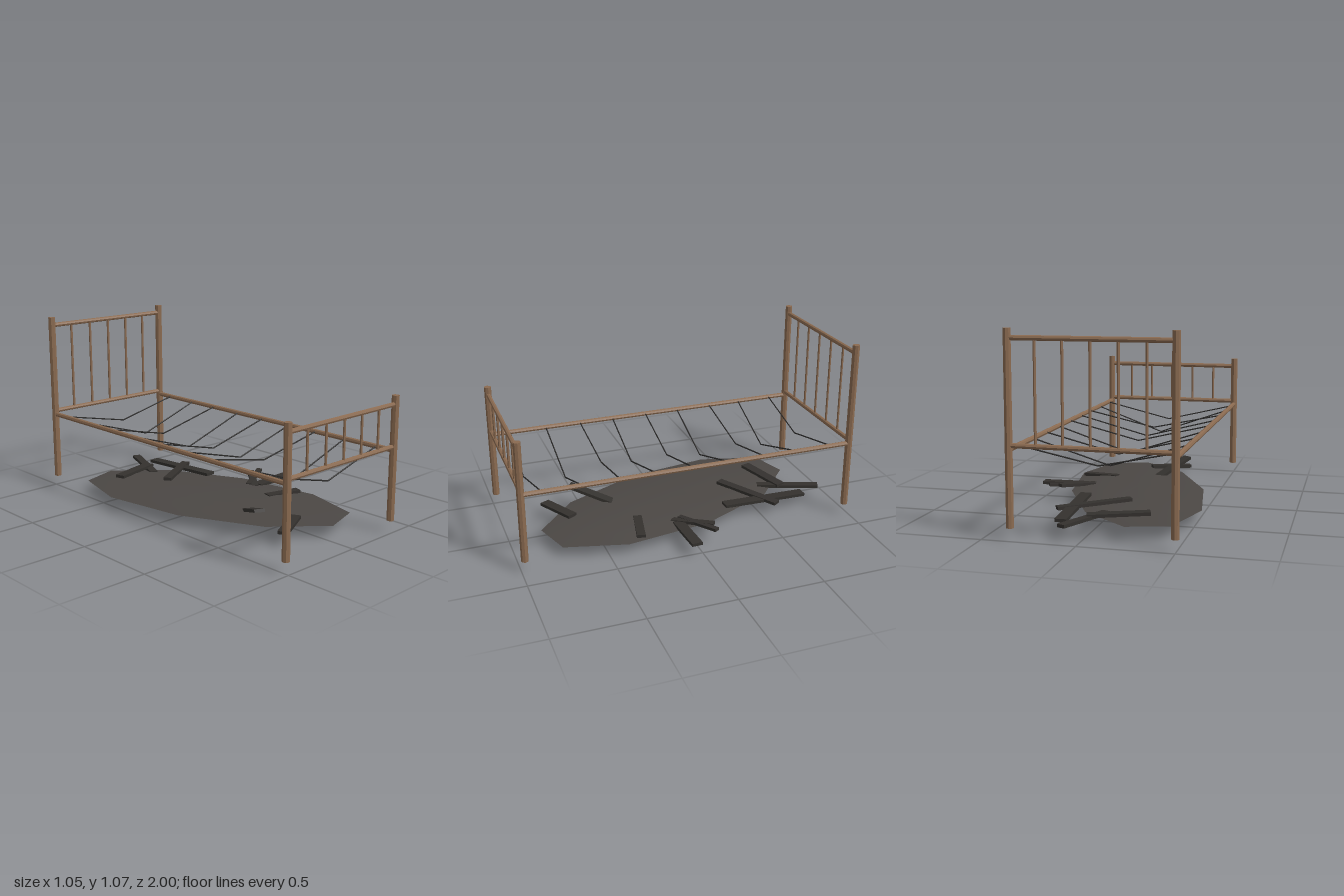
import * as THREE from 'three';

const V = (x, y, z) => new THREE.Vector3(x, y, z);
const rust = new THREE.MeshStandardMaterial({ color: 0x8a6a50, flatShading: true });
const wireMat = new THREE.MeshStandardMaterial({ color: 0x2b2a29 });
const ashMat = new THREE.MeshStandardMaterial({ color: 0x4b4744 });
const charMat = new THREE.MeshStandardMaterial({ color: 0x34312e, flatShading: true });

const CX = -0.0725; // middle of the bed
const HALF_W = 0.4235;
const END_Z = 0.978;

// Round bar between two points
function bar(name, a, b, r, mat = rust, sides = 8) {
  const mesh = new THREE.Mesh(new THREE.CylinderGeometry(r, r, a.distanceTo(b), sides), mat);
  mesh.name = name;
  mesh.position.copy(a).lerp(b, 0.5);
  mesh.quaternion.setFromUnitVectors(V(0, 1, 0), b.clone().sub(a).normalize());
  return mesh;
}

// Flat board between two points
function plank(a, b, width, thick) {
  const mesh = new THREE.Mesh(new THREE.BoxGeometry(width, thick, a.distanceTo(b)), charMat);
  mesh.name = 'charredPlank';
  mesh.position.copy(a).lerp(b, 0.5);
  mesh.lookAt(b);
  return mesh;
}

// Headboard or footboard: two posts, two rails, five spindles
function endFrame(name, z, postTop, railTop) {
  const g = new THREE.Group();
  g.name = name;
  for (const s of [-1, 1]) {
    const x = CX + s * HALF_W;
    g.add(bar('post', V(x, 0.07, z), V(x, postTop, z), 0.021));
  }
  for (const y of [0.491, railTop]) {
    g.add(bar('crossRail', V(CX - HALF_W, y, z), V(CX + HALF_W, y, z), 0.0135));
  }
  for (let i = -2; i <= 2; i++) {
    const x = CX + i * 0.141;
    g.add(bar('spindle', V(x, 0.491, z), V(x, railTop, z), 0.0075, rust, 6));
  }
  return g;
}

// Low ten-sided mound, skewed by two axis vectors, with a flat underside
function ashMound() {
  const rings = [[0.3, 0.096], [0.55, 0.091], [0.8, 0.083], [1, 0.071]];
  const N = 10;
  const pos = [CX, 0.098, 0];
  const idx = [];
  for (const [k, y] of rings) {
    for (let i = 0; i < N; i++) {
      const t = (i / N) * Math.PI * 2;
      const c = Math.cos(t), s = Math.sin(t);
      const bump = k < 1 ? 0.004 * Math.sin(i * 2.3 + k * 9) : 0;
      pos.push(CX + k * (-0.127 * c - 0.433 * s), y + bump, k * (-0.82 * c - 0.147 * s));
    }
  }
  for (let i = 0; i < N; i++) {
    const j = (i + 1) % N;
    idx.push(0, 1 + i, 1 + j);
    for (let r = 0; r < rings.length - 1; r++) {
      const a = 1 + r * N, b = a + N;
      idx.push(a + i, b + i, b + j, a + i, b + j, a + j);
    }
  }
  // separate underside fan
  const base = pos.length / 3;
  pos.push(CX, 0.07, 0);
  const rim = 1 + (rings.length - 1) * N;
  for (let i = 0; i < N; i++) {
    pos.push(...pos.slice((rim + i) * 3, (rim + i) * 3 + 3));
    idx.push(base, base + 1 + ((i + 1) % N), base + 1 + i);
  }
  const geo = new THREE.BufferGeometry();
  geo.setAttribute('position', new THREE.Float32BufferAttribute(pos, 3));
  geo.setIndex(idx);
  geo.computeVertexNormals();
  const mesh = new THREE.Mesh(geo, ashMat);
  mesh.name = 'ashMound';
  return mesh;
}

export function createModel() {
  const root = new THREE.Group();
  root.name = 'burntBed';

  root.add(endFrame('headboard', -END_Z, 1.075, 1.027));
  root.add(endFrame('footboard', END_Z, 0.775, 0.726));

  // side rails
  for (const s of [-1, 1]) {
    const x = CX + s * HALF_W;
    root.add(bar('sideRail', V(x, 0.469, -END_Z), V(x, 0.469, END_Z), 0.0145));
  }

  // sagging wires: [z at rails, z at middle, y at middle]
  const wires = [
    [0.865, 0.88, 0.368], [0.645, 0.635, 0.32], [0.43, 0.417, 0.382],
    [0.22, 0.233, 0.359], [0.003, 0.01, 0.367], [-0.21, -0.203, 0.333],
    [-0.43, -0.44, 0.369], [-0.635, -0.612, 0.338], [-0.855, -0.842, 0.382],
  ];
  const springs = new THREE.Group();
  springs.name = 'saggingWires';
  for (const [z, zm, ym] of wires) {
    for (const s of [-1, 1]) {
      springs.add(bar('wire', V(CX + s * HALF_W, 0.472, z), V(CX, ym, zm), 0.004, wireMat, 6));
    }
  }
  root.add(springs);

  root.add(ashMound());

  // charred boards: [end, end, width]
  const boards = [
    [[0.1, 0.083, -0.93], [-0.04, 0.078, -0.58], 0.048],
    [[-0.29, 0.098, -0.61], [0.03, 0.088, -0.71], 0.06],
    [[0.145, 0.075, -0.8], [0.165, 0.095, -0.27], 0.063],
    [[-0.12, 0.103, -0.355], [0.235, 0.085, -0.585], 0.05],
    [[0.2, 0.085, 0.03], [0.44, 0.1, -0.11], 0.032],
    [[0.21, 0.08, 0.08], [0.37, 0.1, -0.12], 0.04],
    [[0.25, 0.08, 0.055], [0.525, 0.08, 0.042], 0.063],
    [[0.12, 0.09, 0.262], [0.34, 0.085, 0.31], 0.05],
    [[-0.26, 0.17, 0.57], [-0.01, 0.013, 0.15], 0.06],
    [[-0.25, 0.084, 0.73], [-0.02, 0.09, 0.615], 0.06],
  ];
  const debris = new THREE.Group();
  debris.name = 'charredPlanks';
  for (const [a, b, w] of boards) debris.add(plank(V(...a), V(...b), w, 0.018));
  root.add(debris);

  return root;
}
